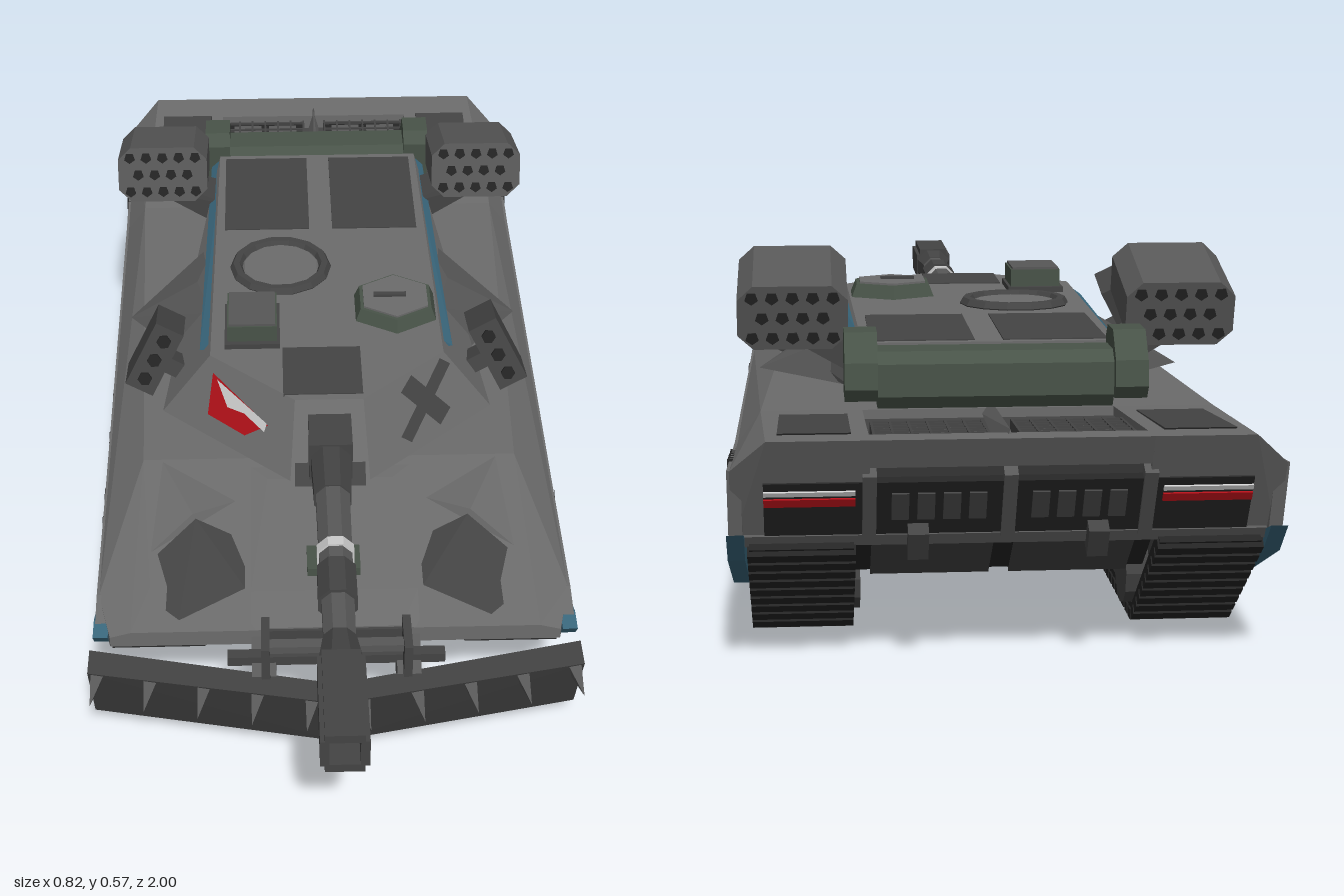
import * as THREE from 'three';
import { ConvexGeometry } from 'three/addons/geometries/ConvexGeometry.js';
import { mergeGeometries } from 'three/addons/utils/BufferGeometryUtils.js';

const HULL = 0x6c6c6c, MID = 0x585858, DARK = 0x444444, BLACK = 0x242424;
const BLUE = 0x3b6a80, GREEN = 0x485348, RED = 0xb01018, WHITE = 0xc8c8c8;
const mats = {};
const mat = c => mats[c] ??= new THREE.MeshStandardMaterial({ color: c, flatShading: true, side: THREE.DoubleSide });

const V = p => new THREE.Vector3(...p);
const flip = pts => pts.map(([x, y, z]) => [-x, y, z]);
const solid = pts => new ConvexGeometry(pts.map(V));
const symSolid = pts => solid([...pts, ...flip(pts)]);
const box = (w, h, d, x = 0, y = 0, z = 0) => new THREE.BoxGeometry(w, h, d).translate(x, y, z);
const shape = pts => new THREE.Shape(pts.map(p => new THREE.Vector2(...p)));

// Side outline in (z, y), given a width across x
function slab(pts, w, cx, hole) {
  const s = shape(pts);
  if (hole) s.holes.push(new THREE.Path(hole.map(p => new THREE.Vector2(...p))));
  return new THREE.ExtrudeGeometry(s, { depth: w, bevelEnabled: false }).rotateY(-Math.PI / 2).translate(cx + w / 2, 0, 0);
}

// Flat patch drawn in (x, y) and laid on the sloped turret cheek
function cheekPatch(pts, lift) {
  const g = new THREE.ShapeGeometry(shape(pts)), p = g.attributes.position;
  for (let i = 0; i < p.count; i++)
    p.setZ(i, 0.29 - 0.913 * (Math.abs(p.getX(i)) - 0.07) - 0.632 * (p.getY(i) - 0.315) + lift);
  g.computeVertexNormals();
  return g;
}

function seeded(seed) {
  return () => (seed = (seed * 16807) % 2147483647) / 2147483647;
}

export function createModel() {
  const root = new THREE.Group();
  const add = (name, geo, color, parent = root) => {
    const m = new THREE.Mesh(geo, mat(color));
    m.name = name;
    parent.add(m);
    return m;
  };

  // Hull: chamfered upper body, open engine bay behind it, raised tub between the tracks
  const section = (z, yb, ys, yd, xs, xd) => [[xs, yb, z], [xs, ys, z], [xd, yd, z]];
  const mid = section(-0.6, 0.19, 0.28, 0.33, 0.397, 0.36);
  add('upperHull', symSolid([...section(0.59, 0.212, 0.232, 0.242, 0.375, 0.34), ...section(0.5, 0.2, 0.245, 0.262, 0.397, 0.31),
    ...section(0.22, 0.19, 0.252, 0.312, 0.397, 0.33), ...mid]), HULL);
  add('bayFloor', symSolid([[0.2, 0.19, -0.6], [0.2, 0.315, -0.6], [0.2, 0.19, -0.9], [0.2, 0.33, -0.96]]), DARK);
  add('tailBar', symSolid([[0.2, 0.32, -0.93], [0.2, 0.359, -0.93], [0.2, 0.365, -1], [0.2, 0.32, -0.974]]), HULL);
  add('baySpine', solid([[-0.012, 0.325, -0.62], [0.012, 0.325, -0.62], [0, 0.35, -0.64], [-0.012, 0.325, -0.95],
    [0.012, 0.325, -0.95], [0, 0.368, -0.95]]), HULL);
  add('lowerHull', slab([[0.54, 0.22], [0.42, 0.12], [-0.78, 0.12], [-0.905, 0.22]], 0.44, 0), BLACK);
  add('glacisPlate', symSolid([[0.14, 0.265, 0.52], [0.14, 0.315, 0.25], [0.14, 0.24, 0.59], [0.11, 0.312, 0.28], [0.11, 0.247, 0.59]]), HULL);
  add('driverHatch', box(0.09, 0.018, 0.06, 0, 0.278, 0.46), GREEN);
  add('nosePanel', box(0.24, 0.045, 0.02, 0, 0.222, 0.585), DARK);

  // Parts repeated on both sides
  const rand = seeded(7);
  for (const s of [1, -1]) {
    const side = new THREE.Group();
    side.name = s > 0 ? 'leftSide' : 'rightSide';
    root.add(side);
    const put = (name, geo, color) => add(name, geo, color, side);
    const both = pts => solid(s > 0 ? pts : flip(pts));

    put('rearQuarter', both([[0.2, 0.19, -0.6], [0.2, 0.33, -0.6], ...mid, [0.2, 0.19, -0.9], [0.2, 0.365, -1],
      [0.397, 0.19, -0.9], [0.397, 0.316, -0.965], [0.345, 0.365, -1]]), HULL);
    put('skirt', slab([[0.58, 0.23], [0.5, 0.246], [0.22, 0.252], [-0.6, 0.281], [-0.96, 0.316], [-0.92, 0.2],
      [-0.68, 0.09], [0.28, 0.09], [0.56, 0.215]], 0.02, s * 0.391), HULL);
    put('skirtStripe', slab([[0.59, 0.232], [0.55, 0.235], [0.27, 0.115], [-0.66, 0.115], [-0.95, 0.22],
      [-0.9, 0.17], [-0.68, 0.075], [0.28, 0.075], [0.57, 0.205]], 0.025, s * 0.391), BLUE);

    // Scattered camouflage flecks
    const flecks = [];
    for (let i = 0; i < 75; i++) {
      const g = new THREE.ShapeGeometry(shape([[-0.025, -0.008], [0.008, -0.013], [0.024, 0.006], [-0.004, 0.012]]));
      g.rotateZ(0.5 * s + (rand() - 0.5)).rotateY(s * Math.PI / 2);
      flecks.push(g.translate(s * 0.4035, 0.135 + 0.1 * rand(), 0.29 - (i % 25) * 0.0295));
    }
    put('flecks', mergeGeometries(flecks), DARK);

    // Rear side vents
    for (let i = 0; i < 6; i++) {
      const z = -0.685 - i * 0.028, y = 0.2 + i * 0.003;
      put('sideVent', slab([[z, y], [z - 0.017, y], [z - 0.023, y + 0.09], [z - 0.006, y + 0.09]], 0.01, s * 0.399), BLACK);
    }

    // Track belt, pads and wheels
    const run = [[0.56, 0.19], [0.27, 0.008], [-0.68, 0.008], [-0.92, 0.19]];
    put('trackBelt', slab([...run, [-0.86, 0.225], [0.52, 0.225]], 0.15, s * 0.297,
      [[0.53, 0.19], [0.265, 0.026], [-0.67, 0.026], [-0.88, 0.19], [-0.85, 0.205], [0.5, 0.205]]), BLACK);
    const pads = [];
    for (let k = 0; k < 3; k++) {
      const [a, b] = [run[k], run[k + 1]], dz = b[0] - a[0], dy = b[1] - a[1];
      const n = Math.round(Math.hypot(dz, dy) / 0.034);
      for (let i = 0; i < n; i++) {
        const t = (i + 0.5) / n;
        pads.push(box(0.156, 0.016, 0.024).rotateX(-Math.atan2(dy, dz)).translate(s * 0.297, a[1] + dy * t, a[0] + dz * t));
      }
    }
    put('trackPads', mergeGeometries(pads), BLACK);
    for (const z of [0.22, 0.03, -0.22, -0.42, -0.64])
      put('roadWheel', new THREE.CylinderGeometry(0.062, 0.062, 0.16, 12).rotateZ(Math.PI / 2).translate(s * 0.288, 0.082, z), DARK);
    for (const z of [0.46, -0.82])
      put('endWheel', new THREE.CylinderGeometry(0.045, 0.045, 0.14, 12).rotateZ(Math.PI / 2).translate(s * 0.297, 0.17, z), DARK);

    // Faceted fender guard over a dark pocket, and rear deck panel
    put('fenderGuard', both([[0.395, 0.25, 0.26], [0.31, 0.312, 0.19], [0.385, 0.242, 0.49], [0.24, 0.307, 0.365],
      [0.14, 0.29, 0.3], [0.2, 0.25, 0.3]]), HULL);
    put('fenderPocket', both([[0.235, 0.298, 0.367], [0.15, 0.275, 0.4], [0.15, 0.264, 0.51], [0.26, 0.25, 0.57],
      [0.35, 0.256, 0.48], [0.25, 0.24, 0.4]]), DARK);
    put('deckPanel', both([[0.225, 0.338, -0.67], [0.33, 0.338, -0.67], [0.33, 0.362, -0.93], [0.225, 0.362, -0.93],
      [0.225, 0.3, -0.8], [0.33, 0.3, -0.8]]), DARK);

    // Engine grille: dark bed with crossing bars
    const grille = new THREE.Group();
    grille.name = 'engineGrille';
    grille.position.set(s * 0.107, 0.335, -0.83);
    grille.rotation.x = 0.06;
    side.add(grille);
    add('grilleBed', box(0.17, 0.01, 0.19), BLACK, grille);
    for (let i = 0; i < 2; i++) add('fanPlate', box(0.06, 0.014, 0.12, -0.038 + i * 0.076, 0, -0.02), MID, grille);
    for (let i = 0; i < 8; i++) add('grilleBar', box(0.17, 0.02, 0.004, 0, 0, -0.088 + i * 0.025), DARK, grille);
    for (let i = 0; i < 7; i++) add('grilleBar', box(0.004, 0.02, 0.19, -0.084 + i * 0.028), DARK, grille);

    // Turret side bulge, edge stripe and roof panel
    put('turretBulge', both([[0.22, 0.325, -0.02], [0.37, 0.33, -0.2], [0.22, 0.33, -0.38], [0.21, 0.42, -0.08],
      [0.24, 0.41, -0.2], [0.2, 0.42, -0.34]]), MID);
    put('turretStripe', both([[0.205, 0.44, 0.04], [0.23, 0.422, 0.04], [0.197, 0.44, -0.61], [0.218, 0.42, -0.61],
      [0.2, 0.42, 0.04], [0.195, 0.42, -0.61]]), BLUE);
    put('roofPanel', box(0.165, 0.01, 0.27, s * 0.105, 0.437, -0.47), DARK);

    // Leaning grenade launcher beside the turret
    const launcher = new THREE.Group();
    launcher.name = 'grenadeLauncher';
    launcher.position.set(s * 0.312, 0.402, 0.01);
    launcher.rotation.set(-0.25, 0, s * 0.48);
    side.add(launcher);
    add('launcherBody', box(0.055, 0.13, 0.1), DARK, launcher);
    add('launcherArm', box(0.12, 0.03, 0.05, -s * 0.06, -0.02, -0.03), DARK, launcher);
    for (let i = 0; i < 3; i++)
      add('launcherTube', new THREE.CylinderGeometry(0.013, 0.013, 0.01, 6).rotateX(Math.PI / 2).translate(0, -0.04 + i * 0.04, 0.05), BLACK, launcher);

    // Rocket pod with octagonal section on a bent arm
    put('podArm', both([[0.18, 0.36, -0.46], [0.18, 0.36, -0.55], [0.18, 0.42, -0.46], [0.18, 0.42, -0.55],
      [0.31, 0.47, -0.48], [0.31, 0.47, -0.54], [0.34, 0.45, -0.48], [0.34, 0.45, -0.54]]), DARK);
    const pod = new THREE.Group();
    pod.name = 'rocketPod';
    pod.position.set(s * 0.308, 0.497, -0.498);
    pod.rotation.x = -0.27;
    side.add(pod);
    const oct = [[-0.087, -0.03], [-0.062, -0.054], [0.062, -0.054], [0.087, -0.03], [0.087, 0.03], [0.062, 0.054], [-0.062, 0.054], [-0.087, 0.03]];
    add('podBody', new THREE.ExtrudeGeometry(shape(oct), { depth: 0.17, bevelEnabled: false }).translate(0, 0, -0.085), MID, pod);
    for (let r = 0; r < 3; r++) for (let c = 0; c < 5 - (r % 2); c++) for (const z of [0.085, -0.085])
      add('rocketTube', new THREE.CylinderGeometry(0.011, 0.011, 0.004, 5).rotateX(Math.PI / 2)
        .translate((c - (4 - (r % 2)) / 2) * 0.032, (r - 1) * 0.034, z), BLACK, pod);
  }

  // Slanted rear plate with recessed panels, lights and grilles
  const rear = new THREE.Group();
  rear.name = 'rearPlate';
  rear.position.set(0, 0.2775, -0.946);
  rear.rotation.x = 2.622;
  root.add(rear);
  add('rearPanel', box(0.7, 0.1, 0.012, 0, 0.025), BLACK, rear);
  add('rearSill', box(0.76, 0.02, 0.016, 0, 0.085, 0), MID, rear);
  for (const x of [-0.2, 0, 0.2]) add('rearRib', box(0.02, 0.12, 0.022, x, 0.02), MID, rear);
  for (const s of [1, -1]) {
    add('tailLight', box(0.13, 0.014, 0.018, s * 0.285, 0.01), RED, rear);
    add('lightBar', box(0.13, 0.008, 0.018, s * 0.285, -0.007), WHITE, rear);
    for (let i = 0; i < 4; i++) add('exhaustSlat', box(0.025, 0.05, 0.018, s * (0.045 + i * 0.037), 0.02), DARK, rear);
    add('towHook', box(0.03, 0.05, 0.04, s * 0.13, 0.08, 0.01), DARK, rear);
    add('sternPlate', slab([[-0.77, 0.11], [-0.765, 0.125], [-0.88, 0.214], [-0.888, 0.204]], 0.18, s * 0.105), DARK);
  }

  // Turret with flat sloped cheeks
  add('turret', symSolid([[0.07, 0.315, 0.29], [0.3, 0.315, 0.08], [0.24, 0.325, -0.3], [0.21, 0.365, -0.62],
    [0.06, 0.44, 0.22], [0.21, 0.44, 0.083], [0.2, 0.44, -0.62]]), HULL);
  add('turretRing', new THREE.CylinderGeometry(0.22, 0.24, 0.03, 16).translate(0, 0.32, -0.12), DARK);
  add('roofFrontPanel', box(0.14, 0.006, 0.14, -0.01, 0.439, 0.135), DARK);
  add('eyeMark', cheekPatch([[-0.205, 0.418], [-0.216, 0.35], [-0.15, 0.348], [-0.108, 0.382]], 0.004), RED);
  add('eyeHighlight', cheekPatch([[-0.198, 0.412], [-0.11, 0.385], [-0.115, 0.37], [-0.15, 0.382], [-0.18, 0.378]], 0.006), WHITE);
  for (const a of [0.85, -0.85]) {
    const c = Math.cos(a), n = Math.sin(a);
    add('crossMark', cheekPatch([[-0.056, -0.013], [0.056, -0.013], [0.056, 0.013], [-0.056, 0.013]]
      .map(([u, v]) => [0.175 + u * c - v * n, 0.385 + u * n + v * c]), 0.004), DARK);
  }

  // Roof fittings
  add('cupola', new THREE.CylinderGeometry(0.07, 0.08, 0.008, 14).translate(-0.08, 0.442, -0.2), HULL);
  add('cupolaRing', new THREE.TorusGeometry(0.084, 0.012, 6, 14).rotateX(Math.PI / 2).translate(-0.08, 0.442, -0.2), DARK);
  add('hexHatch', new THREE.CylinderGeometry(0.075, 0.086, 0.025, 6).translate(0.13, 0.451, -0.06), GREEN);
  add('hatchLid', new THREE.CylinderGeometry(0.068, 0.068, 0.004, 6).translate(0.13, 0.465, -0.06), HULL);
  add('hatchHandle', box(0.06, 0.006, 0.01, 0.12, 0.469, -0.06), DARK);
  add('sightBox', box(0.09, 0.042, 0.11, -0.134, 0.46, 0), GREEN);
  add('sightLid', box(0.084, 0.006, 0.104, -0.134, 0.482, 0), MID);
  add('sightBase', box(0.1, 0.012, 0.13, -0.134, 0.444, 0), DARK);
  add('stowageRoll', slab([[-0.64, 0.375], [-0.65, 0.355], [-0.72, 0.355], [-0.735, 0.375], [-0.735, 0.425], [-0.715, 0.442], [-0.655, 0.442], [-0.64, 0.425]], 0.36, 0), GREEN);
  for (const x of [-0.205, 0.205])
    add('stowageEnd', slab([[-0.645, 0.37], [-0.74, 0.37], [-0.755, 0.39], [-0.75, 0.43], [-0.715, 0.472], [-0.66, 0.472], [-0.64, 0.45]], 0.05, x), GREEN);

  // Gun: mantlet, stepped barrel, forked muzzle
  add('chinPlate', solid([[-0.062, 0.305, 0.3], [0.062, 0.305, 0.3], [-0.062, 0.345, 0.277], [0.062, 0.345, 0.277],
    [-0.062, 0.305, 0.24], [0.062, 0.305, 0.24]]), DARK);
  add('mantlet', box(0.075, 0.075, 0.16, 0, 0.38, 0.24), DARK);
  const tube = (name, r0, r1, z0, z1, color) => add(name, new THREE.CylinderGeometry(r1, r0, z1 - z0, 8).rotateY(Math.PI / 8)
    .rotateX(Math.PI / 2).translate(0, 0.38, (z0 + z1) / 2), color);
  tube('barrelSleeve', 0.038, 0.034, 0.3, 0.42, DARK);
  tube('barrel', 0.031, 0.027, 0.42, 0.8, MID);
  tube('barrelCollar', 0.034, 0.034, 0.6, 0.68, DARK);
  tube('barrelBand', 0.033, 0.033, 0.55, 0.57, WHITE);
  tube('muzzleBase', 0.028, 0.038, 0.76, 0.82, DARK);
  for (const s of [1, -1]) {
    add('muzzleSide', box(0.014, 0.05, 0.18, s * 0.03, 0.38, 0.91), DARK);
    add('muzzleBar', box(0.06, 0.015, 0.18, 0, 0.38 + s * 0.03, 0.91), DARK);
  }
  add('muzzleCore', box(0.045, 0.05, 0.03, 0, 0.38, 0.94), BLACK);

  // V-shaped dozer blade, forward-pointing teeth, push frame
  for (const s of [1, -1]) {
    add('blade', solid([[0, 0.195, 0.715], [0, 0.045, 0.655], [0, 0.195, 0.67], [0, 0.045, 0.61],
      [s * 0.412, 0.195, 0.635], [s * 0.412, 0.045, 0.57], [s * 0.412, 0.195, 0.58], [s * 0.412, 0.045, 0.51]]), DARK);
    for (let i = 0; i < 5; i++) {
      const x = 0.04 + i * 0.0885;
      add('bladeTooth', solid([[s * (x - 0.013), 0.195, 0.7 - x * 0.19], [s * (x + 0.013), 0.195, 0.7 - x * 0.19],
        [s * x, 0.145, 0.685 - x * 0.19], [s * (x + 0.012), 0.175, 0.765 - x * 0.19]]), MID);
    }
    add('pushArm', solid([[s * 0.1, 0.25, 0.55], [s * 0.14, 0.25, 0.55], [s * 0.1, 0.2, 0.55], [s * 0.14, 0.2, 0.55],
      [s * 0.1, 0.19, 0.66], [s * 0.14, 0.19, 0.66], [s * 0.1, 0.14, 0.64], [s * 0.14, 0.14, 0.64]]), MID);
    add('framePost', box(0.014, 0.065, 0.08, s * 0.117, 0.23, 0.62), DARK);
  }
  add('frameBar', box(0.36, 0.018, 0.02, 0, 0.21, 0.62), DARK);
  add('frameBar', box(0.24, 0.014, 0.02, 0, 0.248, 0.635), MID);
  return root;
}
